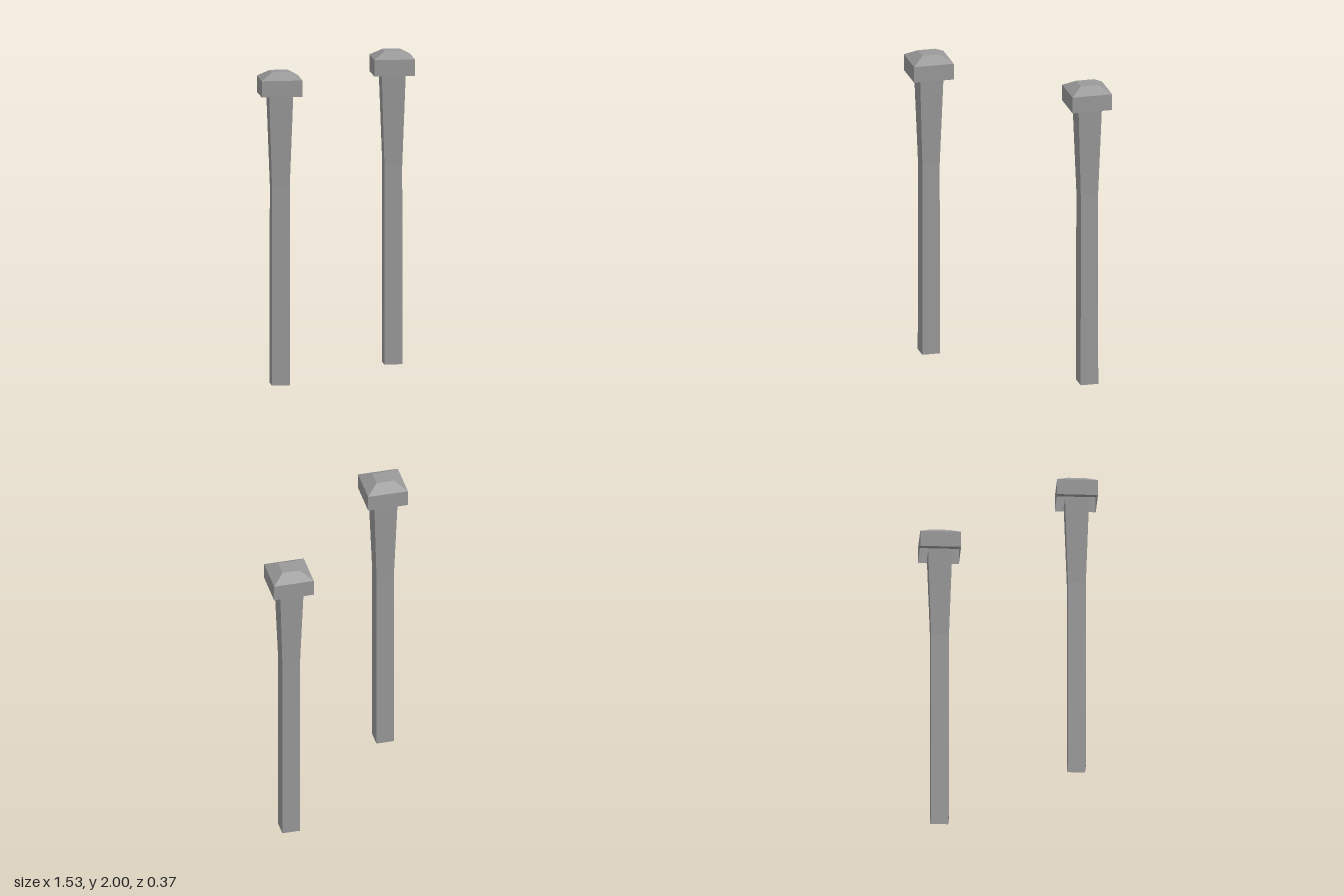
import * as THREE from 'three';

const material = new THREE.MeshStandardMaterial({
  color: 0x999999,
  flatShading: true,
  side: THREE.DoubleSide,
});

// Four-sided turned part with its corners on the x and z axes; profile is [radius, y]
function squarePart(name, profile) {
  const points = profile.map(([r, y]) => new THREE.Vector2(r, y));
  const mesh = new THREE.Mesh(new THREE.LatheGeometry(points, 4), material);
  mesh.name = name;
  return mesh;
}

function createPost(name, x) {
  const post = new THREE.Group();
  post.name = name;
  post.position.x = x;
  // Hollow shaft, straight below and flaring towards the cap
  post.add(squarePart('shaft', [[0.081, 0], [0.08, 1.27], [0.108, 1.85]]));
  // Cap: open underneath, upright walls, bevelled shoulders and a flat top
  post.add(squarePart('cap', [[0.183, 1.85], [0.183, 1.955], [0.08, 2]]));
  const top = new THREE.Mesh(new THREE.CircleGeometry(0.08, 4), material);
  top.name = 'capTop';
  top.rotation.x = -Math.PI / 2;
  top.position.y = 2;
  post.add(top);
  return post;
}

export function createModel() {
  const model = new THREE.Group();
  model.name = 'postPair';
  model.add(createPost('leftPost', 0.58), createPost('rightPost', -0.58));
  return model;
}
